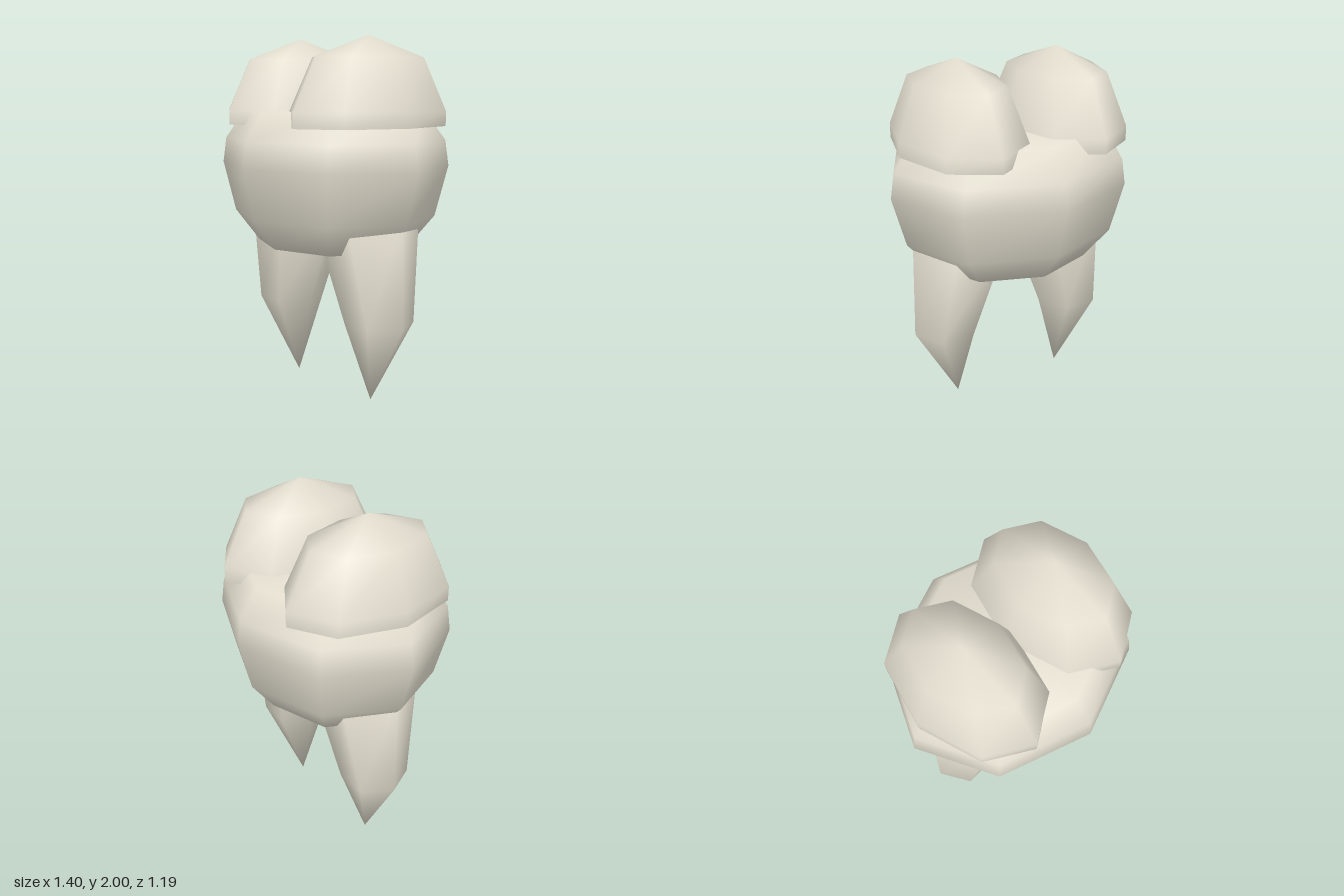
import * as THREE from 'three';

// Lofts a smooth closed skin through stacked polygon rings, each [y, radiusX, radiusZ, centreX].
// A repeated ring makes a sharp edge; zero radii make a pole.
function loft(sides, rings) {
  const positions = [];
  const index = [];
  for (const [y, rx, rz, cx = 0] of rings) {
    for (let i = 0; i < sides; i++) {
      const a = (i / sides) * Math.PI * 2;
      positions.push(cx + rx * Math.cos(a), y, rz * Math.sin(a));
    }
  }
  const isPole = (r) => rings[r][1] === 0;
  for (let r = 0; r < rings.length - 1; r++) {
    if (rings[r].join() === rings[r + 1].join()) continue;
    for (let i = 0; i < sides; i++) {
      // All corners of a pole share its first vertex, so shading stays smooth there
      const at = (ring, k) => ring * sides + (isPole(ring) ? 0 : k % sides);
      const a = at(r, i), b = at(r, i + 1), c = at(r + 1, i), d = at(r + 1, i + 1);
      if (!isPole(r)) index.push(a, c, b);
      if (!isPole(r + 1)) index.push(b, c, d);
    }
  }
  const geometry = new THREE.BufferGeometry();
  geometry.setAttribute('position', new THREE.Float32BufferAttribute(positions, 3));
  geometry.setIndex(index);
  geometry.computeVertexNormals();
  return geometry;
}

export function createModel() {
  const model = new THREE.Group();
  model.name = 'tooth';
  const enamel = new THREE.MeshStandardMaterial({ color: 0xe4dfd0 });
  enamel.name = 'enamel';

  const add = (name, geometry) => {
    const mesh = new THREE.Mesh(geometry, enamel);
    mesh.name = name;
    model.add(mesh);
  };

  // Crown: a bulging eight-sided barrel, as [y, scale] rows
  const crownRows = [[0.83, 0], [0.85, 0.675], [1.02, 0.89], [1.3, 1], [1.44, 0.97], [1.6, 0.79], [1.6, 0]];
  add('crown', loft(8, crownRows.map(([y, s]) => [y, 0.7 * s, 0.595 * s])));

  // Cusps: half-ellipsoid domes with a short straight skirt and flat underside
  const cuspRows = [[1.52, 0], [1.52, 1], [1.52, 1], [1.6, 1], [1.883, 0.707], [2, 0]];
  // Roots: six-sided, leaning and tapering to a point, as [y, radius, centreX] rows
  const rootRows = [[0.005, 0, 0.34], [0.46, 0.19, 0.41], [1.05, 0.296, 0.292]];

  for (const [side, sign] of [['left', 1], ['right', -1]]) {
    add(side + 'Cusp', loft(8, cuspRows.map(([y, s]) => [y, 0.335 * s, 0.49 * s, sign * 0.305])));
    add(side + 'Root', loft(6, [
      ...rootRows.map(([y, r, cx]) => [y, r, r, sign * cx]),
      [1.05, 0, 0, sign * 0.292],
    ]));
  }
  return model;
}
